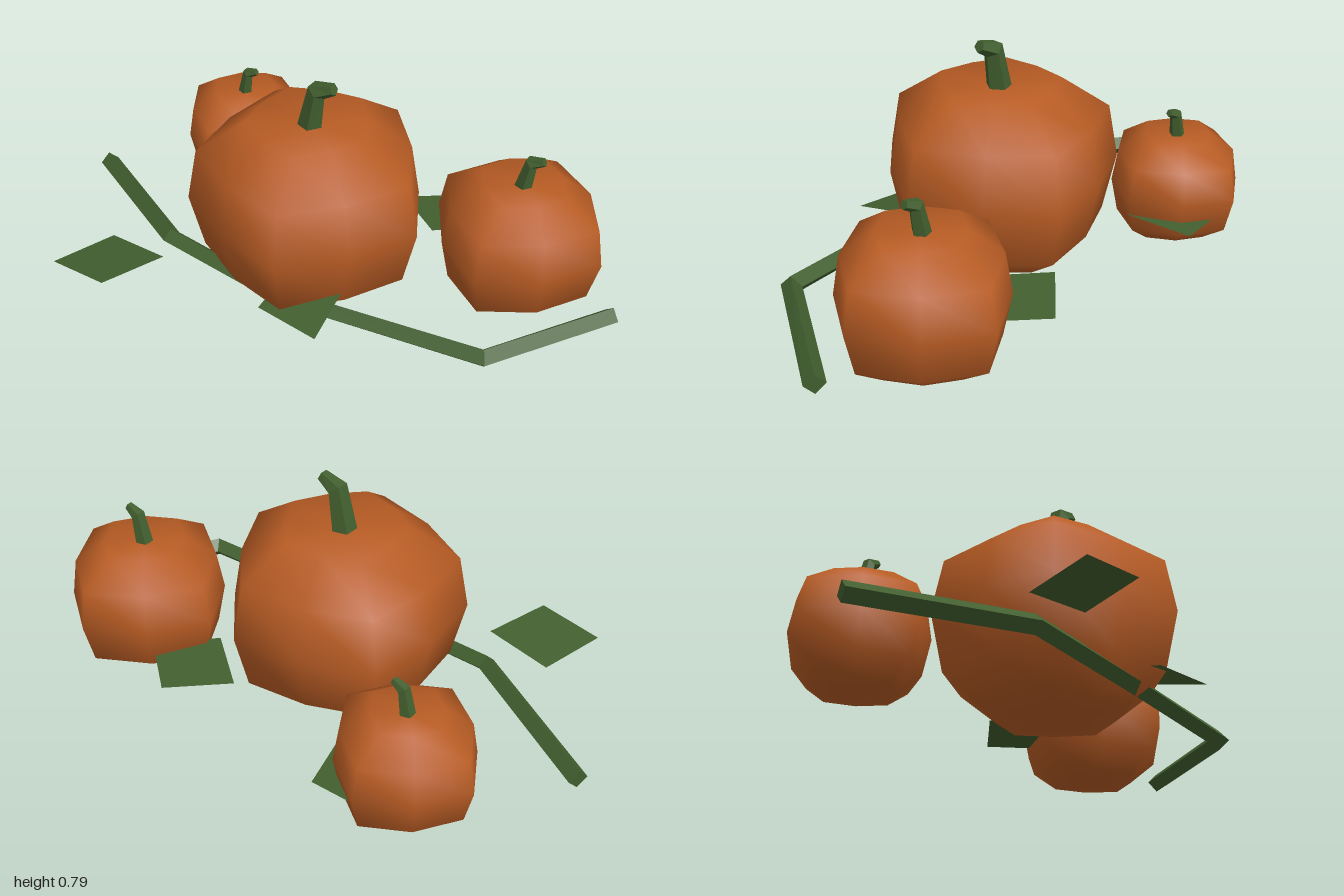
import * as THREE from 'three';
import { mergeVertices } from 'three/addons/utils/BufferGeometryUtils.js';

const pumpkinOrange = new THREE.MeshStandardMaterial({ color: 0xb85c24 });
pumpkinOrange.name = 'pumpkinOrange';
const vineGreen = new THREE.MeshStandardMaterial({ color: 0x425f2f });
vineGreen.name = 'vineGreen';
const leafGreen = new THREE.MeshStandardMaterial({ color: 0x425f2f, side: THREE.DoubleSide });
leafGreen.name = 'leafGreen';

// Pumpkin rings from top to bottom: radius and height fractions
const PROFILE = [[0, 0.97], [0.51, 1], [0.915, 0.815], [1, 0.515], [0.89, 0.19], [0.55, 0.022], [0, 0.005]];

// Smooth body whose radius alternates between lobe and valley
function pumpkinGeometry(peak, valley, height, lobes) {
  const sides = lobes * 2;
  const geo = new THREE.SphereGeometry(1, sides, 6);
  const pos = geo.attributes.position;
  for (let i = 0; i < pos.count; i++) {
    const ring = Math.floor(i / (sides + 1));
    const k = (i % (sides + 1)) % sides;
    const angle = Math.PI + (k / sides) * Math.PI * 2;
    const radius = PROFILE[ring][0] * ((k + lobes) % 2 === 0 ? peak : valley);
    pos.setXYZ(i, Math.cos(angle) * radius, PROFILE[ring][1] * height, -Math.sin(angle) * radius);
  }
  geo.deleteAttribute('normal');
  geo.deleteAttribute('uv');
  const merged = mergeVertices(geo, 1e-4);
  merged.computeVertexNormals();
  return merged;
}

// Faceted, capped tube along a polyline, with a radius at each point
function facetedTube(path, radii, sides, across) {
  const pts = path.map((p) => new THREE.Vector3(...p));
  const rings = pts.map((p, i) => {
    const ahead = pts[Math.min(i + 1, pts.length - 1)].clone().sub(pts[i]).normalize();
    const behind = pts[i].clone().sub(pts[Math.max(i - 1, 0)]).normalize();
    const t = ahead.add(behind).normalize();
    const b = t.clone().cross(across).normalize();
    const n = b.clone().cross(t).multiplyScalar(-1);
    if (n.dot(across) < 0) n.negate();
    return Array.from({ length: sides }, (_, j) => {
      const a = (j / sides) * Math.PI * 2;
      return p.clone().addScaledVector(b, Math.cos(a) * radii[i]).addScaledVector(n, -Math.sin(a) * radii[i]);
    });
  });
  const tris = [];
  const last = pts.length - 1;
  for (let j = 0; j < sides; j++) {
    const k = (j + 1) % sides;
    for (let i = 0; i < last; i++) {
      const [a, b, c, d] = [rings[i][j], rings[i][k], rings[i + 1][k], rings[i + 1][j]];
      tris.push(a, b, c, a, c, d);
    }
    tris.push(pts[0], rings[0][k], rings[0][j], pts[last], rings[last][j], rings[last][k]);
  }
  const geo = new THREE.BufferGeometry().setFromPoints(tris);
  geo.computeVertexNormals();
  return geo;
}

// Flat four-cornered leaf, corners counterclockwise from above
function leafGeometry([a, b, c, d]) {
  const geo = new THREE.BufferGeometry().setFromPoints([a, b, c, a, c, d].map((p) => new THREE.Vector3(...p)));
  geo.computeVertexNormals();
  return geo;
}

function addMesh(parent, name, geometry, material) {
  const mesh = new THREE.Mesh(geometry, material);
  mesh.name = name;
  parent.add(mesh);
  return mesh;
}

export function createModel() {
  const model = new THREE.Group();
  model.name = 'pumpkinPatch';

  // Three pumpkins with bent stems
  const stem = facetedTube(
    [[-0.008, -0.06, 0], [0.027, 0.122, 0], [0.09, 0.147, 0]],
    [0.046, 0.035, 0.021], 5, new THREE.Vector3(0, 0, 1));
  const pumpkins = [
    { name: 'largePumpkin', x: -0.045, z: 0, peak: 0.415, valley: 0.367, height: 0.625, lobes: 5, stem: 1 },
    { name: 'leftPumpkin', x: 0.59, z: -0.303, peak: 0.303, valley: 0.264, height: 0.45, lobes: 4, stem: 0.7 },
    { name: 'rightPumpkin', x: -0.58, z: -0.348, peak: 0.252, valley: 0.22, height: 0.375, lobes: 4, stem: 0.6 },
  ];
  for (const p of pumpkins) {
    const group = new THREE.Group();
    group.name = p.name;
    group.position.set(p.x, 0, p.z);
    // An odd lobe count starts on a valley, an even one on a peak
    addMesh(group, 'body', pumpkinGeometry(p.peak, p.valley, p.height, p.lobes), pumpkinOrange);
    const s = addMesh(group, 'stem', stem, vineGreen);
    s.scale.setScalar(p.stem);
    s.position.y = p.height;
    model.add(group);
  }

  // Vine along the ground
  const vinePath = [[-0.985, 0.088, 0.0], [-0.47, 0.112, 0.25], [0, 0.08, 0.262], [0.72, 0.11, 0.168], [0.97, 0.088, -0.26]];
  addMesh(model, 'vine', facetedTube(vinePath, [0.034, 0.034, 0.034, 0.036, 0.034], 4, new THREE.Vector3(0, 1, 0)), vineGreen);

  // Leaves
  const leaves = {
    frontLeaf: [[-0.70, 0.132, 0.595], [-0.47, 0.155, 0.605], [-0.40, 0.14, 0.375], [-0.64, 0.115, 0.36]],
    middleLeaf: [[0.0, 0.112, 0.375], [0.24, 0.118, 0.40], [0.215, 0.155, 0.21], [0.0, 0.145, 0.2]],
    backLeftLeaf: [[0.10, 0.125, -0.39], [0.29, 0.14, -0.26], [0.46, 0.125, -0.42], [0.28, 0.11, -0.55]],
    backRightLeaf: [[-0.56, 0.15, -0.33], [-0.335, 0.14, -0.34], [-0.39, 0.12, -0.56], [-0.61, 0.13, -0.55]],
  };
  for (const [name, corners] of Object.entries(leaves)) addMesh(model, name, leafGeometry(corners), leafGreen);

  return model;
}
